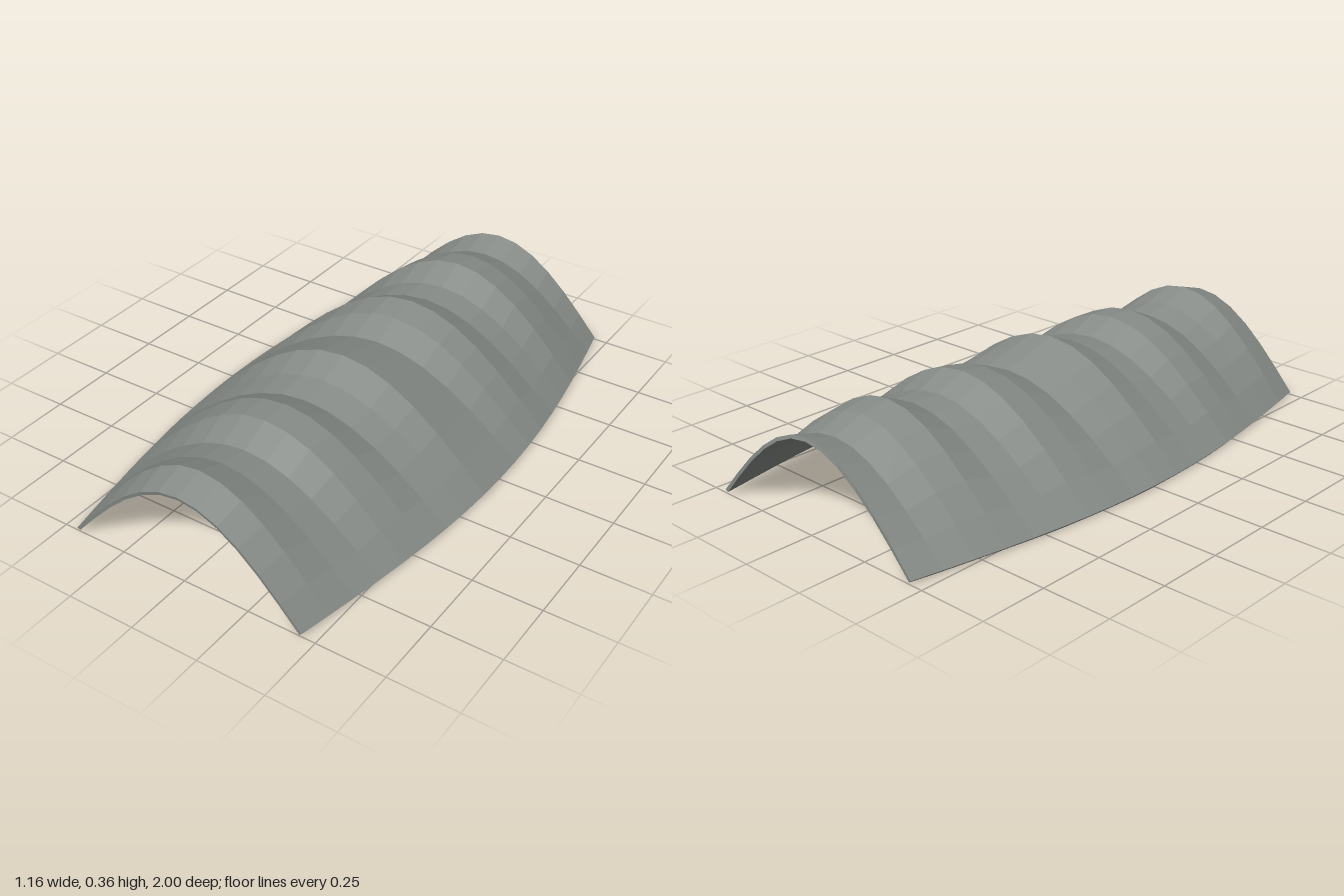
import * as THREE from 'three';

const ACROSS = 12, ALONG = 18, THICK = 0.0125, BASE = 0.0095;
const Z_BACK = -0.9965, Z_FRONT = 1;

// Outer skin: a plane bent into an arch whose height ripples along z and whose width bulges
function outerSkin() {
  const skin = new THREE.PlaneGeometry(2, 2, ACROSS, ALONG);
  const pos = skin.attributes.position;
  for (let i = 0; i < pos.count; i++) {
    const u = pos.getX(i), t = -pos.getY(i);
    const halfWidth = 0.45 + 0.128 * Math.cos(t * Math.PI / 2);
    const height = 0.322 + 0.033 * Math.sin(5 * Math.PI * t);
    pos.setXYZ(i,
      u * halfWidth,
      BASE + height * Math.cos(u * Math.PI / 2),
      THREE.MathUtils.mapLinear(t, -1, 1, Z_BACK, Z_FRONT));
  }
  skin.computeVertexNormals();
  return skin;
}

// Closed shell of flat four-sided facets: outer skin, inner skin and the rims between
function shellGeometry() {
  const skin = outerSkin();
  const outer = (i, j) => new THREE.Vector3()
    .fromBufferAttribute(skin.attributes.position, i * (ACROSS + 1) + j);
  const inner = (i, j) => {
    const normal = new THREE.Vector3()
      .fromBufferAttribute(skin.attributes.normal, i * (ACROSS + 1) + j);
    const p = outer(i, j).addScaledVector(normal, -THICK);
    p.y = Math.max(0, p.y);
    return p;
  };

  const positions = [], normals = [];
  const quad = (a, b, c, d) => {
    const n = c.clone().sub(a).cross(d.clone().sub(b)).normalize();
    for (const p of [a, b, c, a, c, d]) {
      positions.push(p.x, p.y, p.z);
      normals.push(n.x, n.y, n.z);
    }
  };

  for (let i = 0; i < ALONG; i++) {
    for (let j = 0; j < ACROSS; j++) {
      quad(outer(i, j), outer(i + 1, j), outer(i + 1, j + 1), outer(i, j + 1));
      quad(inner(i, j), inner(i, j + 1), inner(i + 1, j + 1), inner(i + 1, j));
    }
    // Bottom rims
    quad(outer(i, 0), inner(i, 0), inner(i + 1, 0), outer(i + 1, 0));
    quad(outer(i, ACROSS), outer(i + 1, ACROSS), inner(i + 1, ACROSS), inner(i, ACROSS));
  }
  // Back and front rims
  for (let j = 0; j < ACROSS; j++) {
    quad(outer(0, j), outer(0, j + 1), inner(0, j + 1), inner(0, j));
    quad(outer(ALONG, j), inner(ALONG, j), inner(ALONG, j + 1), outer(ALONG, j + 1));
  }

  const geometry = new THREE.BufferGeometry();
  geometry.setAttribute('position', new THREE.Float32BufferAttribute(positions, 3));
  geometry.setAttribute('normal', new THREE.Float32BufferAttribute(normals, 3));
  return geometry;
}

export function createModel() {
  const group = new THREE.Group();
  group.name = 'rippledCanopy';
  const material = new THREE.MeshStandardMaterial({ color: 0x878c88 });
  const shell = new THREE.Mesh(shellGeometry(), material);
  shell.name = 'archedShell';
  group.add(shell);
  return group;
}
